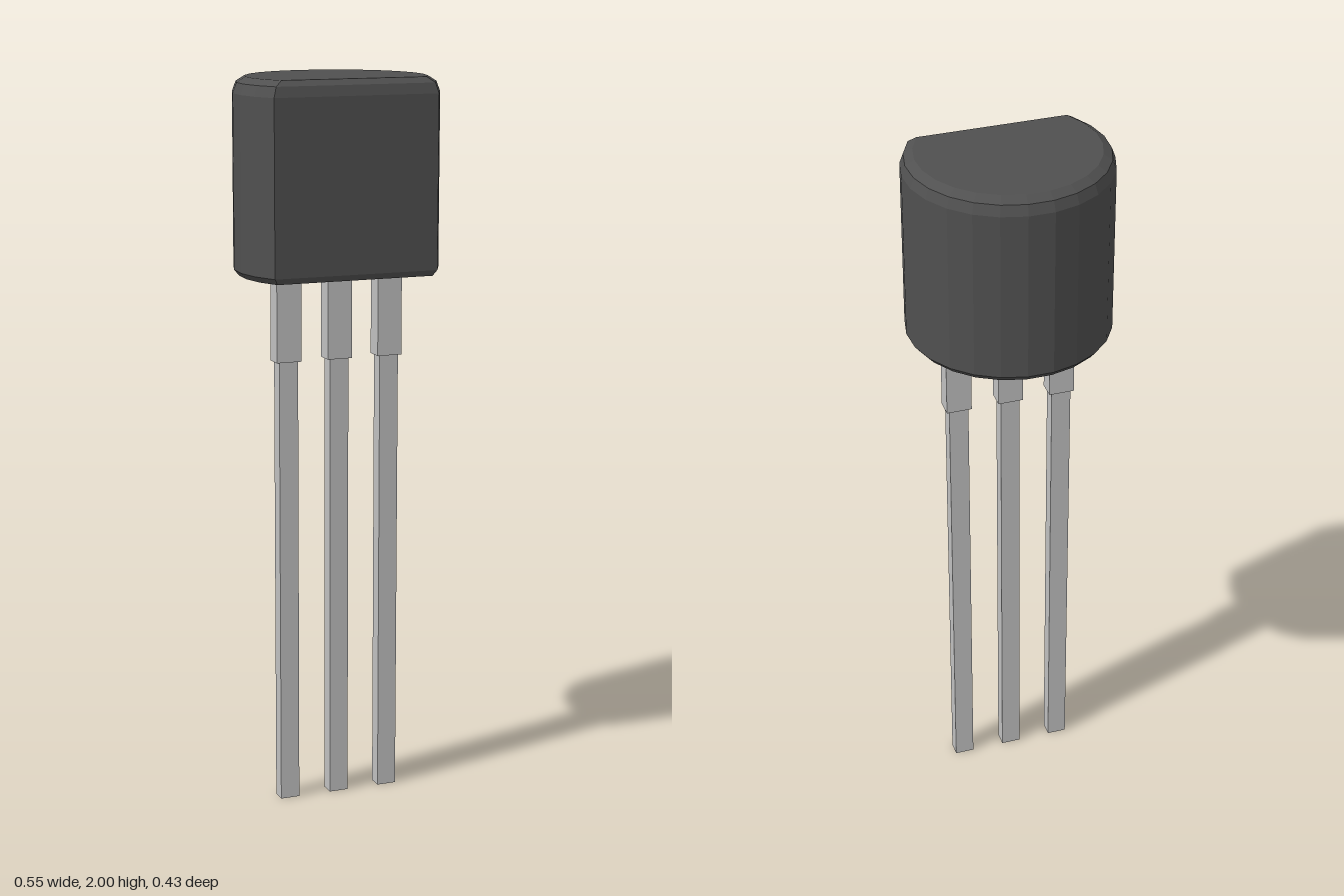
import * as THREE from 'three';

const CENTER_Z = 0.06; // axis of the rounded back
const SEGMENTS = 17;

// D-shaped outline: an arc round the back, closed by a flat front
function outline(radius, flatZ, y) {
  const half = Math.PI - Math.acos((flatZ - CENTER_Z) / radius);
  const points = [];
  for (let i = 0; i <= SEGMENTS; i++) {
    const a = -half + (2 * half * i) / SEGMENTS;
    points.push([radius * Math.sin(a), y, CENTER_Z - radius * Math.cos(a)]);
  }
  return points;
}

// Skin stacked outlines from bottom to top and close both ends
function loft(rings) {
  const n = rings[0].length;
  const index = [];
  for (let r = 0; r < rings.length - 1; r++) {
    for (let i = 0; i < n; i++) {
      const j = (i + 1) % n;
      const a = r * n + i, b = r * n + j;
      index.push(a, a + n, b + n, a, b + n, b);
    }
  }
  const top = (rings.length - 1) * n;
  for (let i = 1; i < n - 1; i++) {
    index.push(0, i, i + 1);
    index.push(top, top + i + 1, top + i);
  }
  const geometry = new THREE.BufferGeometry();
  geometry.setAttribute('position', new THREE.Float32BufferAttribute(rings.flat(2), 3));
  geometry.setIndex(index);
  const flat = geometry.toNonIndexed();
  flat.computeVertexNormals();
  return flat;
}

function box(name, width, depth, bottom, top, material) {
  const mesh = new THREE.Mesh(new THREE.BoxGeometry(width, top - bottom, depth), material);
  mesh.name = name;
  mesh.position.y = (top + bottom) / 2;
  return mesh;
}

export function createModel() {
  const model = new THREE.Group();
  model.name = 'transistor';

  const plastic = new THREE.MeshStandardMaterial({ color: 0x505050 });
  plastic.name = 'dark plastic';
  const metal = new THREE.MeshStandardMaterial({ color: 0xc0c0c0 });
  metal.name = 'lead metal';

  // Casing with a small bottom chamfer and a rounded top edge
  const casing = new THREE.Mesh(loft([
    outline(0.264, 0.205, 1.473),
    outline(0.277, 0.213, 1.489),
    outline(0.277, 0.213, 1.957),
    outline(0.267, 0.207, 1.985),
    outline(0.243, 0.193, 2),
  ]), plastic);
  casing.name = 'casing';
  model.add(casing);

  // Three leads, each wider near the casing
  for (const [side, x] of [['right', -0.146], ['middle', 0], ['left', 0.146]]) {
    const lead = new THREE.Group();
    lead.name = side + 'Lead';
    lead.position.set(x, 0, 0.065);
    lead.add(box('leadShoulder', 0.07, 0.05, 1.242, 1.48, metal));
    lead.add(box('leadPin', 0.054, 0.04, 0, 1.242, metal));
    model.add(lead);
  }
  return model;
}
